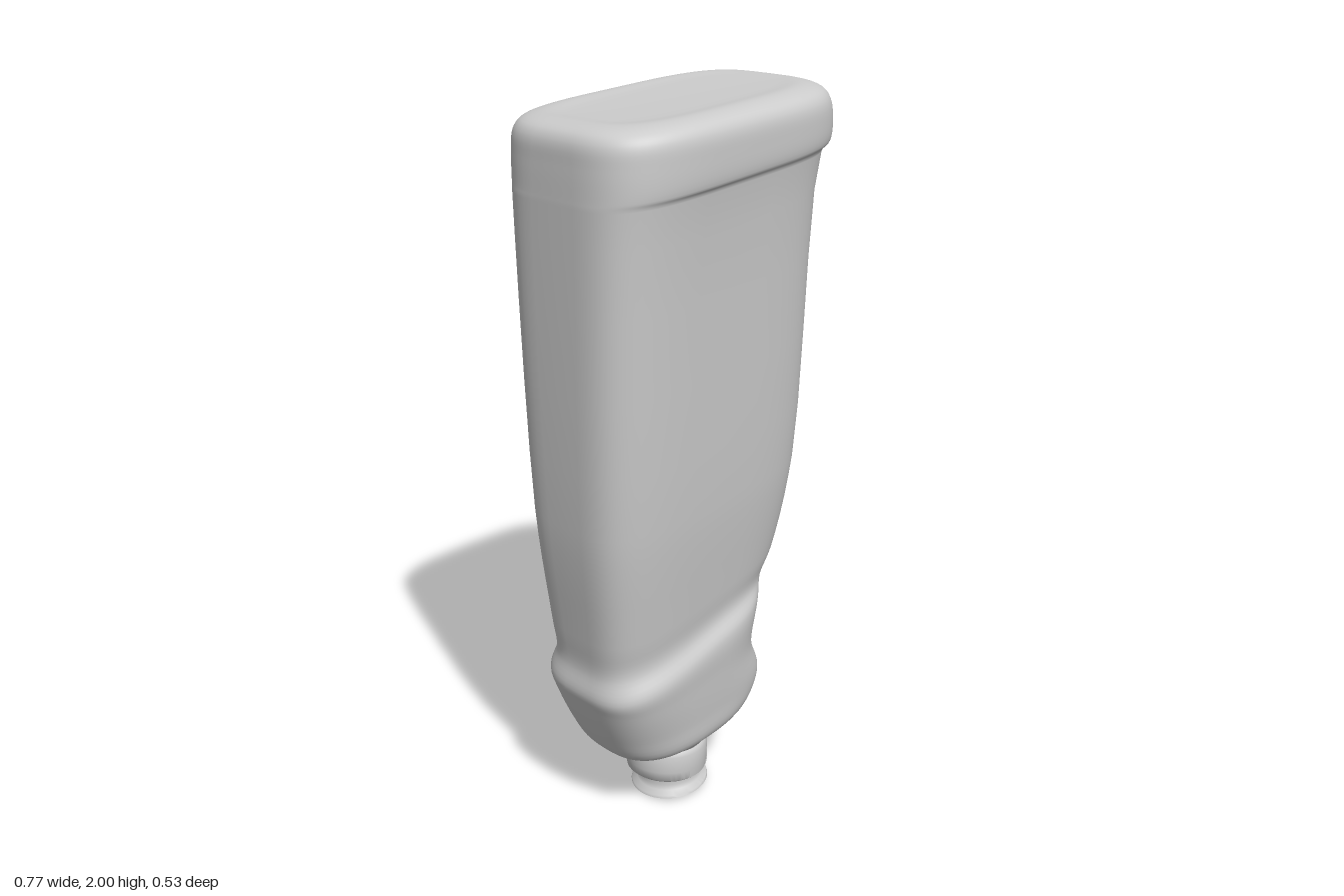
import * as THREE from 'three';
import { toCreasedNormals } from 'three/addons/utils/BufferGeometryUtils.js';

const COLUMNS = 72;

// Slanted cross-sections, bottom to top:
// [y at -x end, y at +x end, x min, x max, z back, z front, squareness]
const SHOULDER = [
  [0.165, 0.165, -0.08, 0.14, -0.18, 0.04, 2],
  [0.2, 0.22, -0.17, 0.175, -0.2, 0.08, 2.3],
  [0.225, 0.29, -0.212, 0.255, -0.245, 0.125, 2.7],
  [0.3, 0.365, -0.255, 0.285, -0.255, 0.137, 3],
  [0.4, 0.48, -0.297, 0.236, -0.255, 0.15, 3.3],
  [0.45, 0.62, -0.313, 0.25, -0.253, 0.157, 3.5],
];
const BODY = [
  [0.52, 0.68, -0.302, 0.278, -0.231, 0.133, 3.5],
  [0.62, 0.76, -0.315, 0.312, -0.231, 0.143, 3.7],
  [0.95, 1.02, -0.357, 0.346, -0.238, 0.182, 3.9],
  [1.77, 1.84, -0.385, 0.354, -0.251, 0.247, 4],
];
const RIM = [
  [1.79, 1.865, -0.385, 0.38, -0.26, 0.259, 3.8],
  [1.86, 1.91, -0.384, 0.385, -0.264, 0.264, 3.7],
];

// Round the rim over into the flat base, then close it at the middle
function roundedBase() {
  const inset = (y, tilt, d) => [y, y + tilt, -0.382 + d, 0.38 - d, -0.262 + d, 0.263 - d, 3.6];
  const rings = [0.15, 0.5, 1].map((k) => {
    const a = k * Math.PI / 2;
    return inset(1.9 + 0.051 * Math.sin(a), 0.048, 0.06 * (1 - Math.cos(a)));
  });
  const middle = [1.97, 1.97, -0.001, 0.001, -0.001, 0.001, 2];
  return [...rings, inset(1.951, 0.042, 0.12), middle];
}

function sectionPoint([yL, yR, x0, x1, z0, z1, n], angle) {
  const c = Math.cos(angle), s = Math.sin(angle);
  const u = Math.sign(c) * Math.abs(c) ** (2 / n);
  const v = Math.sign(s) * Math.abs(s) ** (2 / n);
  const t = (u + 1) / 2;
  return new THREE.Vector3(
    x0 + (x1 - x0) * t,
    yL + (yR - yL) * t,
    (z0 + z1) / 2 + v * (z1 - z0) / 2,
  );
}

// Loft with a smooth curve through the sections in every column
function loft(sections, perSpan) {
  const rows = (sections.length - 1) * perSpan + 1;
  const positions = [], index = [];
  for (let i = 0; i < COLUMNS; i++) {
    const angle = (i / COLUMNS) * Math.PI * 2;
    const curve = new THREE.CatmullRomCurve3(sections.map((s) => sectionPoint(s, angle)));
    curve.getPoints(rows - 1).forEach((p) => positions.push(p.x, p.y, p.z));
    const next = ((i + 1) % COLUMNS) * rows;
    for (let j = 0; j < rows - 1; j++) {
      const a = i * rows + j, b = next + j;
      index.push(a, a + 1, b, b, a + 1, b + 1);
    }
  }
  const geometry = new THREE.BufferGeometry();
  geometry.setAttribute('position', new THREE.Float32BufferAttribute(positions, 3));
  geometry.setIndex(index);
  geometry.computeVertexNormals();
  return geometry;
}

// Turned part that leans along x
function turned(profile, lean) {
  const geometry = new THREE.LatheGeometry(profile.map(([r, y]) => new THREE.Vector2(r, y)), 48);
  const p = geometry.attributes.position;
  for (let i = 0; i < p.count; i++) p.setY(i, p.getY(i) + lean * p.getX(i));
  return toCreasedNormals(geometry, 0.7);
}

export function createModel() {
  const material = new THREE.MeshStandardMaterial({ color: 0xcccccc });
  const group = new THREE.Group();
  const add = (name, geometry, x, z) => {
    const mesh = new THREE.Mesh(geometry, material);
    mesh.name = name;
    mesh.position.set(x, 0, z);
    group.add(mesh);
  };

  add('bottleBody', loft([...SHOULDER, ...BODY, ...RIM, ...roundedBase()], 5), 0, 0);

  // Cap collar below the shoulder
  add('capCollar', turned([
    [0, 0.062], [0.105, 0.064], [0.114, 0.072],
    [0.118, 0.1], [0.118, 0.15], [0.113, 0.163], [0.1, 0.172], [0, 0.172],
  ], -0.04), 0.03, -0.07);

  // Flip lid with a finger groove above its lip
  add('flipLid', turned([
    [0, 0.011], [0.1, 0.011], [0.111, 0.015], [0.109, 0.022],
    [0.095, 0.032], [0.09, 0.045], [0.092, 0.066], [0, 0.066],
  ], 0.09), 0.043, -0.07);

  // Hinge strap joining lid and collar on the +x side
  const strap = new THREE.Shape([
    [0.07, 0.025], [0.148, 0.025], [0.153, 0.04], [0.152, 0.14], [0.142, 0.16], [0.07, 0.16],
  ].map(([x, y]) => new THREE.Vector2(x, y)));
  add('lidHinge', new THREE.ExtrudeGeometry(strap, { depth: 0.09, bevelEnabled: false }), 0, -0.115);

  return group;
}
